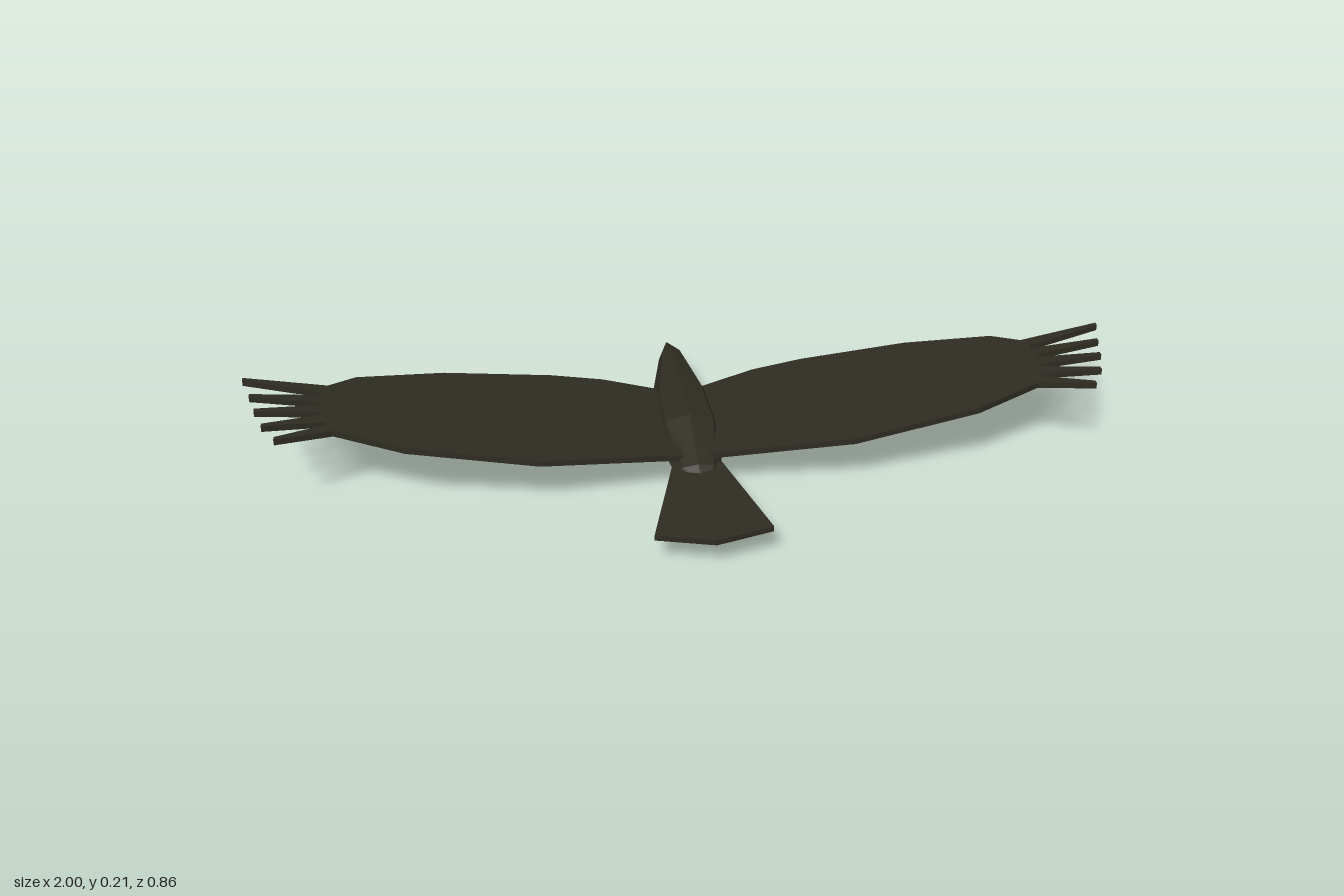
import * as THREE from 'three';

const plumage = new THREE.MeshStandardMaterial({ color: 0x2e2c22, flatShading: true });
plumage.name = 'darkPlumage';

// Thin plate from an [x, z] outline; its top lies at y, and it rises away from the middle
function plate(name, outline, y, thickness, rise = 0) {
  const shape = new THREE.Shape(outline.map(([x, z]) => new THREE.Vector2(x, z)));
  const geo = new THREE.ExtrudeGeometry(shape, { depth: thickness, bevelEnabled: false });
  geo.rotateX(Math.PI / 2);
  const pos = geo.attributes.position;
  for (let i = 0; i < pos.count; i++) pos.setY(i, pos.getY(i) + y + rise * Math.abs(pos.getX(i)));
  geo.computeVertexNormals();
  const mesh = new THREE.Mesh(geo, plumage);
  mesh.name = name;
  return mesh;
}

// Eight-sided body lofted along z, from beak tip to rump
function makeBody() {
  // z, half width, top, middle, bottom
  const stations = [
    [-0.43, 0.002, 0.083, 0.08, 0.077],
    [-0.34, 0.03, 0.117, 0.085, 0.057],
    [-0.215, 0.058, 0.123, 0.075, 0.025],
    [-0.16, 0.07, 0.125, 0.071, 0.007],
    [0, 0.078, 0.128, 0.067, 0.003],
    [0.15, 0.05, 0.087, 0.064, 0.035],
    [0.188, 0.015, 0.066, 0.062, 0.058],
  ];
  const section = [[0, 1], [-0.7, 0.74], [-1, 0], [-0.65, -0.75], [0, -1], [0.65, -0.75], [1, 0], [0.7, 0.74]];
  const n = section.length;
  const verts = [];
  const index = [];
  for (const [z, w, top, mid, bottom] of stations) {
    for (const [sx, sy] of section) verts.push(sx * w, mid + sy * (sy > 0 ? top - mid : mid - bottom), z);
  }
  for (let i = 0; i < stations.length - 1; i++) {
    for (let j = 0; j < n; j++) {
      const a = i * n + j, b = i * n + (j + 1) % n;
      index.push(a, b, a + n, b, b + n, a + n);
    }
  }
  // End caps
  const last = (stations.length - 1) * n;
  for (let j = 1; j < n - 1; j++) index.push(0, j + 1, j, last, last + j, last + j + 1);
  const geo = new THREE.BufferGeometry();
  geo.setAttribute('position', new THREE.Float32BufferAttribute(verts, 3));
  geo.setIndex(index);
  geo.computeVertexNormals();
  const mesh = new THREE.Mesh(geo, plumage);
  mesh.name = 'body';
  return mesh;
}

// Wing blade with five splayed finger feathers
function makeWing(side, name) {
  const wing = new THREE.Group();
  wing.name = name;
  const flip = (pts) => pts.map(([x, z]) => [x * side, z]);
  const rise = 0.123;
  const y = 0.091;
  const blade = [
    [0.03, -0.17], [0.18, -0.212], [0.3, -0.222], [0.55, -0.213], [0.75, -0.175], [0.82, -0.125],
    [0.83, -0.03], [0.8, 0.065], [0.64, 0.13], [0.35, 0.165], [0.03, 0.12],
  ];
  wing.add(plate('wingBlade', flip(blade), y, 0.014, rise));

  // Base x, base z, tip x, tip z
  const feathers = [
    [0.8, -0.112, 1.0, -0.145],
    [0.8, -0.07, 0.98, -0.073],
    [0.8, -0.03, 0.965, -0.01],
    [0.8, 0.01, 0.945, 0.053],
    [0.78, 0.045, 0.915, 0.107],
  ];
  for (const [bx, bz, tx, tz] of feathers) {
    const outline = [[bx, bz - 0.018], [tx, tz - 0.006], [tx, tz + 0.006], [bx, bz + 0.018]];
    wing.add(plate('fingerFeather', flip(outline), y, 0.014, rise));
  }
  return wing;
}

export function createModel() {
  const bird = new THREE.Group();
  bird.name = 'soaringBird';
  bird.add(makeBody());
  bird.add(makeWing(1, 'leftWing'), makeWing(-1, 'rightWing'));
  // Fan tail
  const tail = [[-0.055, 0.125], [0.055, 0.125], [0.127, 0.395], [0, 0.43], [-0.127, 0.395]];
  bird.add(plate('tail', tail, 0.076, 0.013));
  // Rest on the ground
  bird.position.y = -0.003;
  return bird;
}
